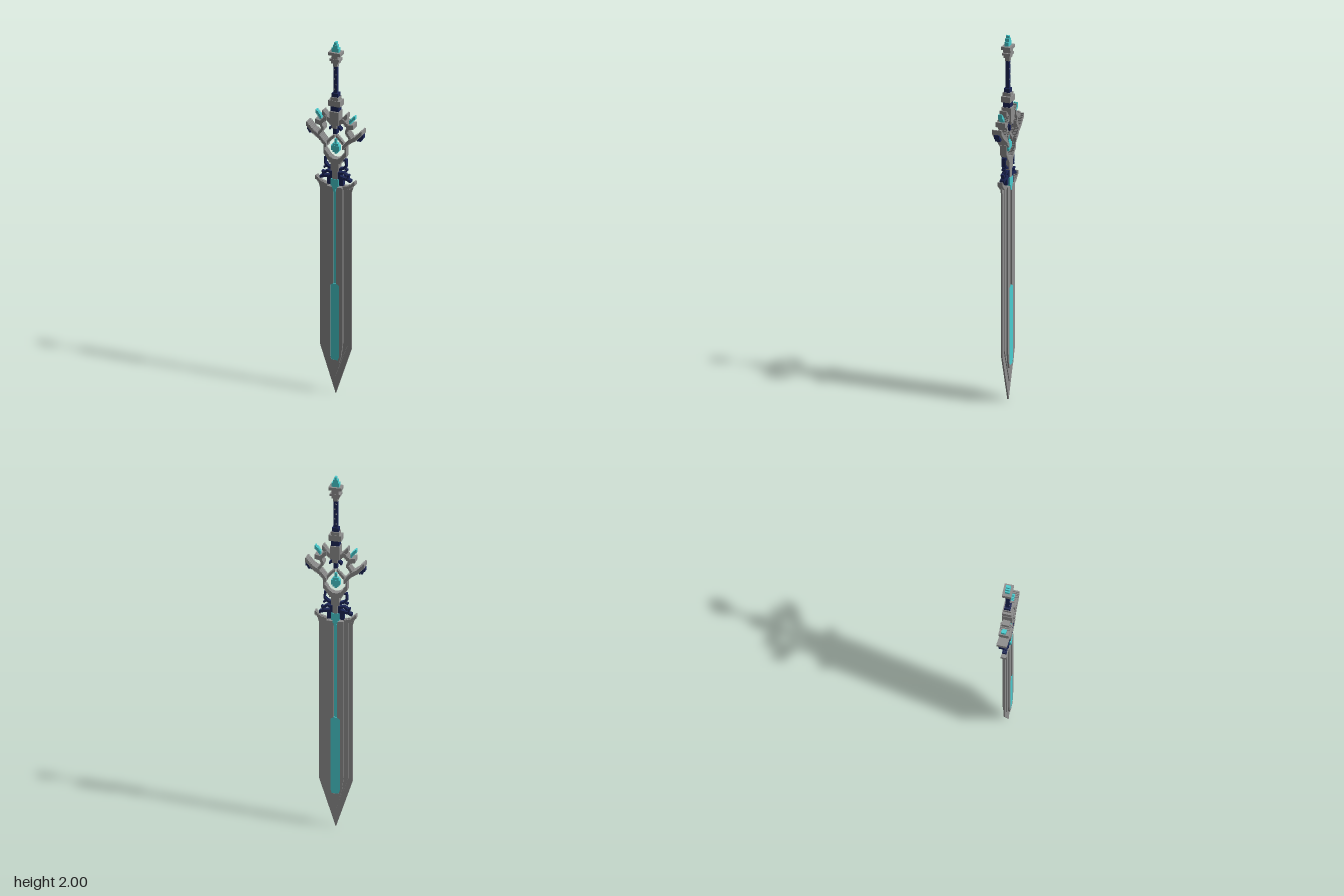
import * as THREE from 'three';
import { mergeGeometries } from 'three/addons/utils/BufferGeometryUtils.js';

const mat = (name, color) => {
  const m = new THREE.MeshStandardMaterial({ color });
  m.name = name;
  return m;
};

export function createModel() {
  const root = new THREE.Group();
  const steel = mat('grey steel', 0x8e8e8e);
  const navy = mat('navy enamel', 0x1b2556);
  const teal = mat('teal crystal', 0x48cdd0);

  const add = (name, material, geos) => {
    const mesh = new THREE.Mesh(mergeGeometries(geos), material);
    mesh.name = name;
    root.add(mesh);
  };

  // Box by x range, y range and half depth
  const box = (x0, x1, y0, y1, hz) =>
    new THREE.BoxGeometry(x1 - x0, y1 - y0, hz * 2).translate((x0 + x1) / 2, (y0 + y1) / 2, 0);
  const mid = (hx, y0, y1, hz) => box(-hx, hx, y0, y1, hz);

  // Chain of small blocks stepping along a path, on both sides of the sword
  const STEP = 0.008;
  const stairs = (points, width, hz) => {
    const out = [];
    for (let i = 0; i < points.length - 1; i++) {
      const [ax, ay] = points[i], [bx, by] = points[i + 1];
      const n = Math.max(1, Math.ceil(Math.max(Math.abs(bx - ax), Math.abs(by - ay)) / STEP));
      for (let k = 0; k <= n; k++) {
        const x = ax + (bx - ax) * k / n, y = ay + (by - ay) * k / n;
        for (const s of [-1, 1]) {
          out.push(box(s * x - STEP / 2, s * x + STEP / 2, y - width / 2, y + width / 2, hz));
        }
      }
    }
    return out;
  };

  // Mirrored outline from its right half, bottom to top, as a flat slab
  const outline = (half) => [...half, ...half.filter(p => p[0] > 0).reverse().map(([x, y]) => [-x, y])]
    .map(([x, y]) => new THREE.Vector2(x, y));
  const slab = (half, hz, hole) => {
    const shape = new THREE.Shape(outline(half));
    if (hole) shape.holes.push(new THREE.Path(outline(hole)));
    return new THREE.ExtrudeGeometry(shape, { depth: hz * 2, bevelEnabled: false }).translate(0, 0, -hz);
  };

  // Blade: three layers, each thicker and narrower, with a groove through the core
  add('bladeEdge', steel, [slab([[0, 0], [0.09, 0.27], [0.09, 1.16], [0.108, 1.22],
    [0.08, 1.2], [0.045, 1.19], [0.03, 1.165], [0, 1.16]], 0.004)]);
  add('bladeBevel', steel, [slab([[0, 0.1], [0.068, 0.285], [0.068, 1.185], [0.04, 1.18], [0, 1.16]], 0.009)]);
  add('bladeCore', steel, [slab([[0, 0.175], [0.024, 0.18], [0.036, 0.22], [0.046, 0.3], [0.046, 1.18],
    [0, 1.178]], 0.018,
  [[0.018, 0.195], [0.025, 0.215], [0.025, 0.62], [0.009, 0.63], [0.009, 1.165]])]);
  add('bladeHorns', steel, stairs([[0.05, 1.18], [0.08, 1.188], [0.108, 1.215]], 0.02, 0.014));

  // Glowing channel and lower inlay
  add('channel', teal, [mid(0.009, 0.62, 1.17, 0.0105)]);
  add('bladeInlay', teal, [slab([[0.018, 0.195], [0.025, 0.215], [0.025, 0.62], [0.009, 0.63]], 0.0172)]);

  // Gem where blade meets the hilt
  add('bladeGem', teal, [mid(0.022, 1.185, 1.225, 0.02), mid(0.014, 1.17, 1.185, 0.02),
    mid(0.007, 1.155, 1.17, 0.02)]);

  // Curling navy scrollwork
  add('scrollwork', navy, [
    mid(0.045, 1.19, 1.235, 0.013), mid(0.028, 1.235, 1.265, 0.014),
    ...stairs([[0.03, 1.235], [0.065, 1.23], [0.084, 1.222]], 0.014, 0.012),
    ...stairs([[0.068, 1.235], [0.074, 1.252]], 0.01, 0.01),
    ...stairs([[0.02, 1.255], [0.045, 1.262], [0.062, 1.25]], 0.012, 0.012),
    ...stairs([[0.022, 1.28], [0.045, 1.288], [0.06, 1.305], [0.058, 1.335], [0.042, 1.342]], 0.012, 0.012),
    ...stairs([[0.05, 1.29], [0.062, 1.28]], 0.01, 0.01),
  ]);
  add('neck', steel, [mid(0.014, 1.225, 1.27, 0.018), mid(0.022, 1.27, 1.315, 0.018),
    mid(0.034, 1.315, 1.34, 0.018)]);

  // Open ring around the central gem
  add('gemRing', steel, [
    ...stairs([[0.012, 1.325], [0.035, 1.34], [0.06, 1.375], [0.06, 1.4]], 0.028, 0.018),
    ...stairs([[0.058, 1.4], [0.045, 1.425], [0.024, 1.45], [0.008, 1.464]], 0.017, 0.01),
  ]);
  add('centreGem', teal, [mid(0.024, 1.385, 1.412, 0.013), mid(0.015, 1.375, 1.425, 0.011),
    mid(0.006, 1.365, 1.45, 0.007)]);

  // Long crossguard arms with navy tips
  add('guardArms', steel, [
    ...stairs([[0.05, 1.415], [0.085, 1.455], [0.12, 1.478], [0.154, 1.515]], 0.024, 0.027),
  ]);
  add('armTips', navy, [
    ...stairs([[0.13, 1.473], [0.155, 1.49]], 0.022, 0.014),
    ...stairs([[0.142, 1.468], [0.148, 1.48]], 0.012, 0.014),
  ]);

  // Upper wings folding down to the arms
  add('wings', steel, [
    ...stairs([[0.02, 1.545], [0.045, 1.565], [0.066, 1.592]], 0.026, 0.02),
    ...stairs([[0.05, 1.565], [0.08, 1.535], [0.104, 1.54]], 0.026, 0.027),
    ...stairs([[0.08, 1.53], [0.065, 1.505], [0.088, 1.472]], 0.02, 0.024),
  ]);
  add('wingGems', teal, [
    ...stairs([[0.084, 1.56], [0.096, 1.575], [0.108, 1.588]], 0.02, 0.012),
  ]);
  add('lowerSpike', navy, [
    mid(0.01, 1.48, 1.54, 0.014),
    ...stairs([[0.012, 1.525], [0.03, 1.508]], 0.012, 0.014),
  ]);

  // Stacked collar above the guard
  add('collar', steel, [mid(0.014, 1.515, 1.535, 0.024), mid(0.026, 1.535, 1.61, 0.027),
    mid(0.034, 1.64, 1.672, 0.025), mid(0.022, 1.672, 1.69, 0.022)]);
  add('collarBands', navy, [mid(0.022, 1.61, 1.64, 0.019), mid(0.018, 1.69, 1.712, 0.016)]);

  // Grip with small studs
  add('grip', navy, [mid(0.01, 1.71, 1.87, 0.01)]);
  const studs = [];
  for (let i = 0; i < 5; i++) {
    const x = (i % 2 ? 1 : -1) * 0.004, y = 1.73 + i * 0.028;
    studs.push(box(x - 0.003, x + 0.003, y, y + 0.007, 0.0115));
  }
  add('gripStuds', steel, studs);

  // Flared pommel and crystal
  add('pommel', steel, [mid(0.012, 1.862, 1.88, 0.012), mid(0.02, 1.88, 1.895, 0.017),
    mid(0.028, 1.895, 1.908, 0.022), mid(0.018, 1.908, 1.928, 0.02), mid(0.035, 1.928, 1.945, 0.025)]);
  add('pommelCrystal', teal, [mid(0.02, 1.945, 1.968, 0.012), mid(0.013, 1.968, 1.985, 0.012),
    mid(0.006, 1.985, 2.0, 0.01)]);

  return root;
}
